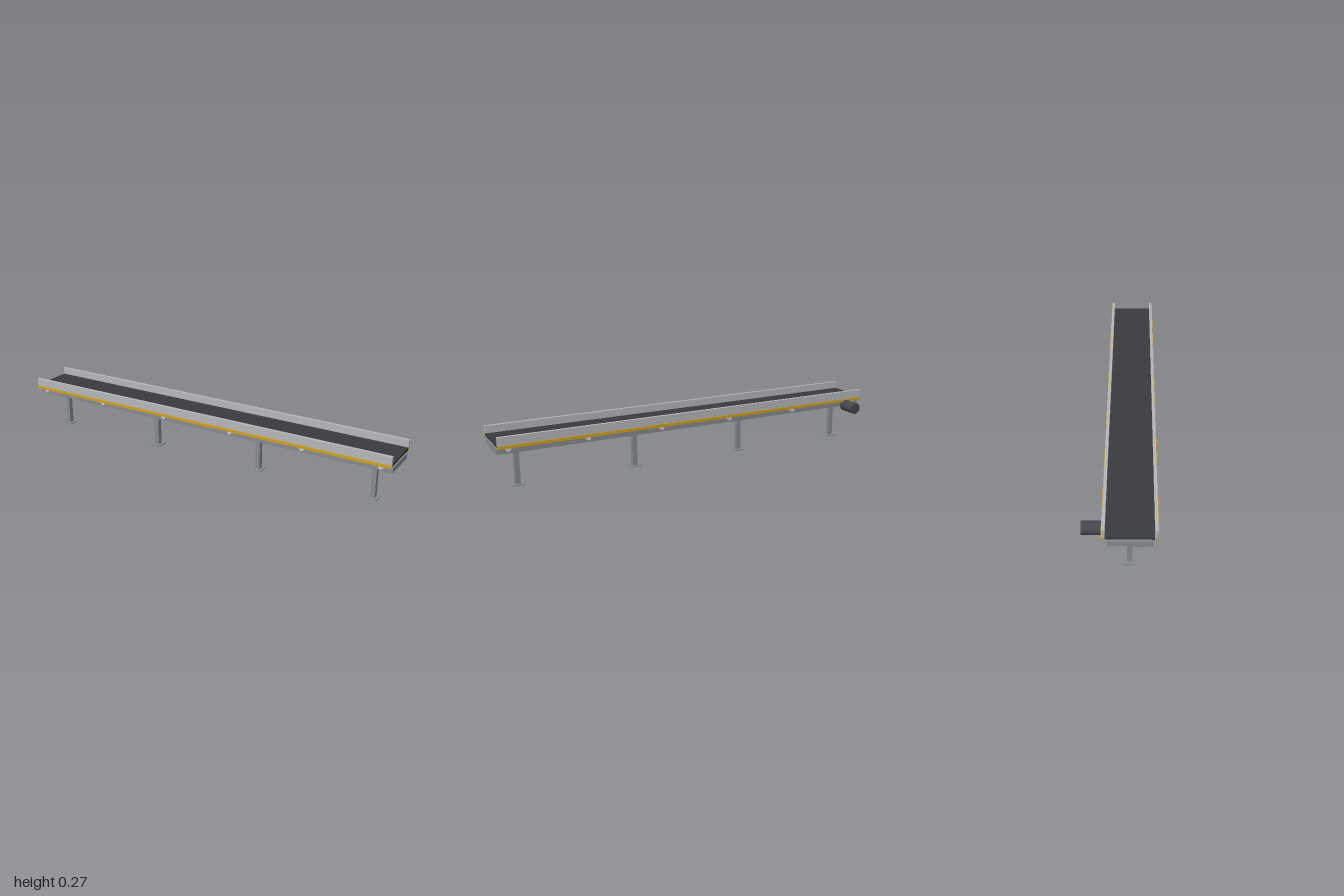
import * as THREE from 'three';
import { RoundedBoxGeometry } from 'three/addons/geometries/RoundedBoxGeometry.js';

const mat = (color) => new THREE.MeshStandardMaterial({ color });

export function createModel() {
  const model = new THREE.Group();
  model.name = 'conveyor';
  const steel = mat(0x868a8e), lightSteel = mat(0xb4b6b8), rubber = mat(0x3a3b3e);
  const motorGrey = mat(0x45474c), yellow = mat(0xd0a020), rollerGrey = mat(0xd8d8d6);
  const midZ = 0.042; // centre line of the belt

  const add = (name, geometry, material, x, y, z) => {
    const mesh = new THREE.Mesh(geometry, material);
    mesh.name = name;
    mesh.position.set(x, y, z);
    model.add(mesh);
    return mesh;
  };
  const softBox = (w, h, d) => new RoundedBoxGeometry(w, h, d, 1, 0.0012);

  // Belt and the bed beneath it
  add('belt', softBox(2, 0.014, 0.202), rubber, 0, 0.2285, midZ);
  add('bed', softBox(2, 0.027, 0.184), steel, 0, 0.199, midZ);

  // Side guards with a yellow strip along the outer lower edge
  for (const s of [1, -1]) {
    add('sideGuard', softBox(2, 0.042, 0.014), lightSteel, 0, 0.25, midZ + s * 0.108);
    add('safetyStrip', new THREE.BoxGeometry(2, 0.014, 0.004), yellow, 0, 0.223, midZ + s * 0.117);
  }

  // Rollers under the belt
  const rollerGeo = new THREE.CylinderGeometry(0.0125, 0.0125, 0.208, 20).rotateX(Math.PI / 2);
  for (let i = 0; i < 6; i++) {
    add('roller', rollerGeo, rollerGrey, -0.948 + i * 0.3792, 0.2085, midZ);
  }

  // Legs with foot plates
  const legGeo = new THREE.BoxGeometry(0.024, 0.182, 0.024);
  const footGeo = new THREE.BoxGeometry(0.054, 0.005, 0.054);
  for (let i = 0; i < 4; i++) {
    const x = -0.889 + i * 0.5927;
    add('leg', legGeo, steel, x, 0.095, midZ);
    add('footPlate', footGeo, steel, x, 0.0025, midZ);
  }

  // Drive motor at the back
  const motorGeo = new THREE.CylinderGeometry(0.0295, 0.0295, 0.093, 28).rotateX(Math.PI / 2);
  add('motor', motorGeo, motorGrey, -0.903, 0.1955, -0.1145);

  return model;
}
